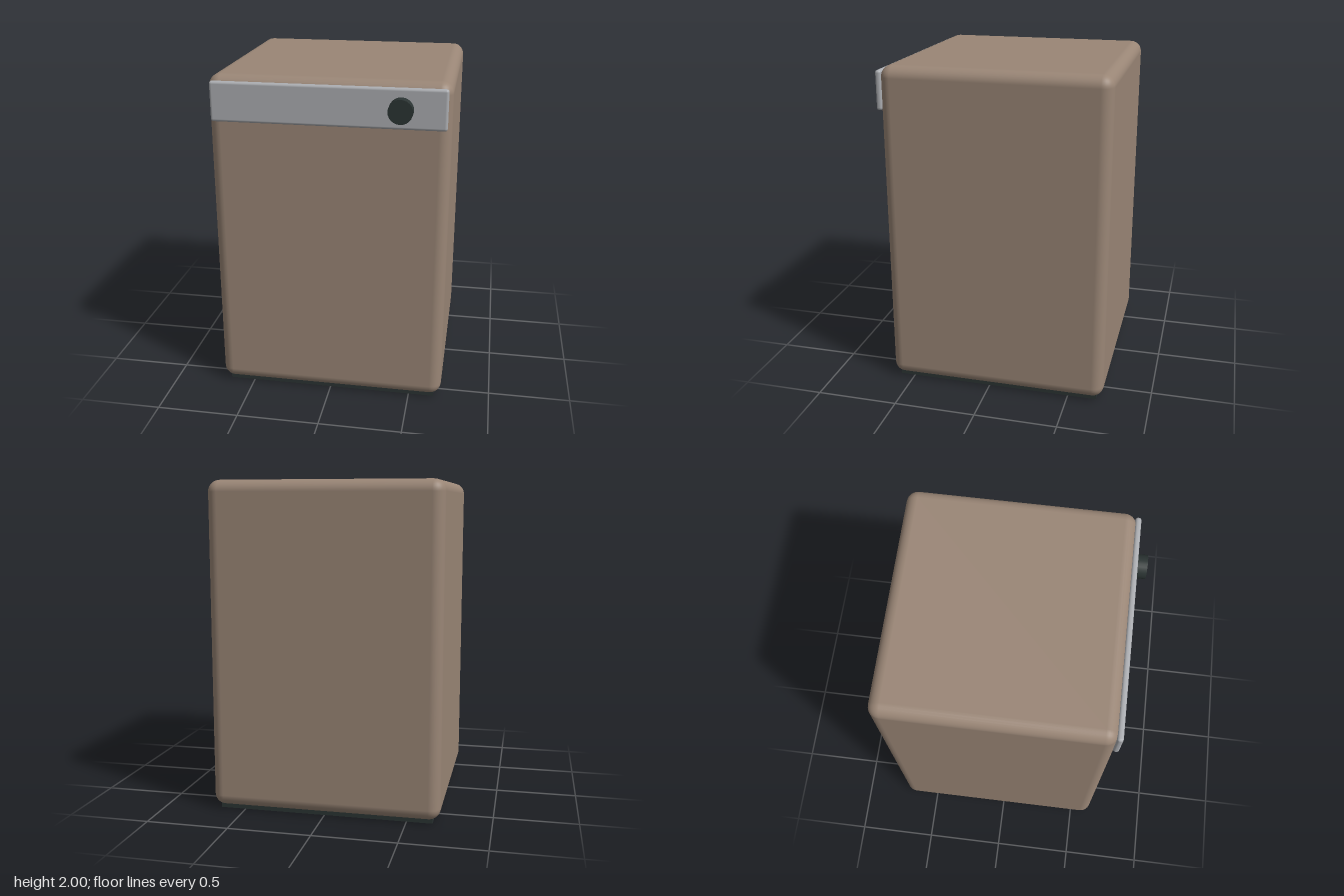
import * as THREE from 'three';
import { RoundedBoxGeometry } from 'three/addons/geometries/RoundedBoxGeometry.js';

export function createModel() {
  const group = new THREE.Group();
  const material = (name, color) => {
    const m = new THREE.MeshStandardMaterial({ color });
    m.name = name;
    return m;
  };
  const brown = material('warm brown enamel', 0x9a8676);
  const grey = material('light grey panel', 0xabadb1);
  const dark = material('dark charcoal', 0x2b3433);

  const add = (name, geometry, mat, x, y, z) => {
    const mesh = new THREE.Mesh(geometry, mat);
    mesh.name = name;
    mesh.position.set(x, y, z);
    group.add(mesh);
    return mesh;
  };

  // Rounded cabinet
  add('cabinet', new RoundedBoxGeometry(1.4, 1.98, 1.352, 4, 0.07), brown, 0, 1.01, -0.043);

  // Recessed plinth, just showing under the cabinet
  add('plinth', new THREE.BoxGeometry(1.31, 0.08, 1.265), dark, 0, 0.04, -0.043);

  // Control panel across the top of the front
  add('controlPanel', new RoundedBoxGeometry(1.354, 0.235, 0.036, 3, 0.016), grey, 0, 1.853, 0.641);

  // Round control knob facing forward
  const knob = add('controlKnob', new THREE.CylinderGeometry(0.07, 0.07, 0.07, 24), dark, 0.42, 1.851, 0.684);
  knob.rotation.x = Math.PI / 2;

  return group;
}
